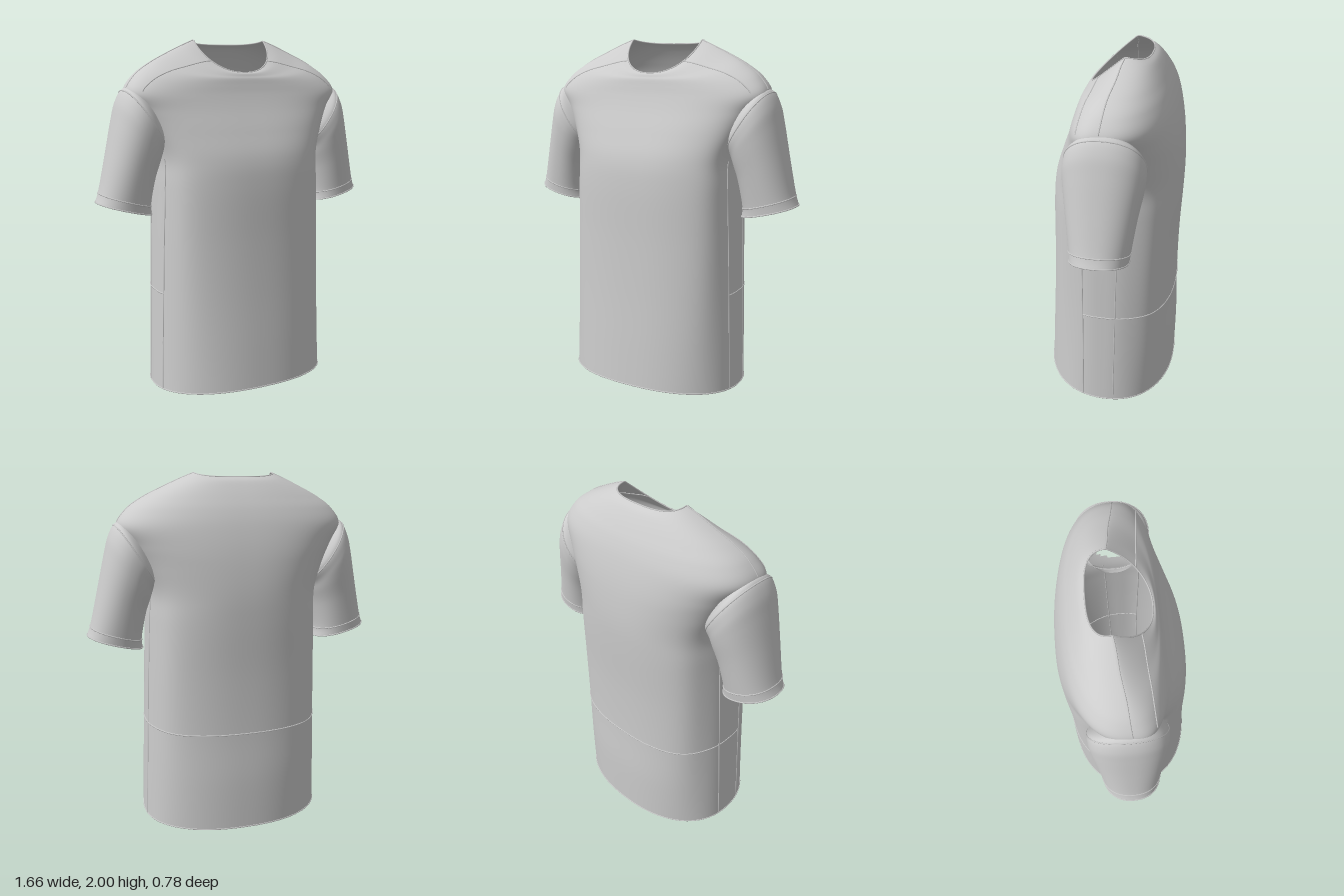
import * as THREE from 'three';

const fabric = new THREE.MeshStandardMaterial({ color: 0xcccccc, side: THREE.DoubleSide });
fabric.name = 'light grey fabric';

// Torso rings from hem to neck:
// half width, front z, back z, side y, front y, back y, side z, front roundness, back roundness
const TORSO = [
  [0.528, 0.390, -0.372, 0.025, 0.060, 0.012, 0.00, 0.86, 0.88],
  [0.520, 0.375, -0.375, 0.30, 0.30, 0.30, 0.00, 0.85, 0.85],
  [0.510, 0.355, -0.367, 0.60, 0.60, 0.58, 0.00, 0.82, 0.80],
  [0.500, 0.340, -0.370, 0.90, 0.90, 0.90, 0.00, 0.79, 0.77],
  [0.488, 0.330, -0.384, 1.20, 1.20, 1.20, 0.00, 0.76, 0.76],
  [0.485, 0.310, -0.387, 1.36, 1.36, 1.36, -0.01, 0.72, 0.77],
  [0.528, 0.260, -0.379, 1.50, 1.50, 1.50, -0.02, 0.67, 0.78],
  [0.588, 0.210, -0.363, 1.62, 1.62, 1.62, -0.02, 0.65, 0.79],
  [0.645, 0.181, -0.338, 1.715, 1.70, 1.73, -0.02, 0.67, 0.82],
  [0.592, 0.167, -0.310, 1.805, 1.75, 1.81, -0.03, 0.70, 0.84],
  [0.500, 0.158, -0.280, 1.872, 1.785, 1.87, -0.04, 0.76, 0.84],
  [0.385, 0.150, -0.250, 1.930, 1.80, 1.92, -0.06, 0.83, 0.80],
  [0.285, 0.142, -0.222, 1.975, 1.815, 1.958, -0.07, 0.90, 0.75],
  [0.222, 0.130, -0.195, 2.00, 1.82, 1.978, -0.08, 0.93, 0.72],
];

// Sleeve rings from cuff to armhole: outer x, outer y, inner x, inner y, front z, back z
const SLEEVE = [
  [0.825, 1.125, 0.520, 1.045, 0.125, -0.180],
  [0.802, 1.190, 0.525, 1.105, 0.130, -0.188],
  [0.757, 1.380, 0.500, 1.240, 0.150, -0.212],
  [0.716, 1.560, 0.475, 1.320, 0.167, -0.236],
  [0.688, 1.665, 0.460, 1.360, 0.172, -0.244],
  [0.648, 1.735, 0.430, 1.390, 0.162, -0.238],
  [0.600, 1.740, 0.400, 1.410, 0.120, -0.190],
];

// Smoothly blends the rows of a ring table at fractional index v
function sample(rows, v) {
  const i = Math.min(Math.floor(v), rows.length - 2), f = v - i;
  const row = k => rows[Math.max(0, Math.min(rows.length - 1, k))];
  return rows[0].map((_, c) => {
    const a = row(i - 1)[c], b = row(i)[c], d = row(i + 1)[c], e = row(i + 2)[c];
    return b + 0.5 * f * (d - a + f * (2 * a - 5 * b + 4 * d - e + f * (3 * (b - d) + e - a)));
  });
}

const power = (n, e) => Math.sign(n) * Math.abs(n) ** e;

// Angle t: 0 = left side, PI/2 = front, -PI/2 = back
function torsoPoint(t, v) {
  const [w, zF, zB, yS, yF, yB, z0, eF, eB] = sample(TORSO, v);
  const c = Math.cos(t), s = Math.sin(t), front = s >= 0;
  const e = front ? eF : eB;
  // soft drape folds that fade out toward hem and chest
  const fade = Math.sin(Math.PI * Math.min(1, v / 6.5));
  const fold = 1 + 0.022 * fade * Math.cos(8 * Math.abs(s) + 0.25 * v) * Math.abs(c * s);
  return new THREE.Vector3(
    w * power(c, e) * fold,
    THREE.MathUtils.lerp(yS, front ? yF : yB, Math.abs(s)),
    z0 + ((front ? zF : zB) - z0) * Math.abs(s) ** e * fold,
  );
}

function sleevePoint(t, v, side) {
  const [xo, yo, xi, yi, zF, zB] = sample(SLEEVE, v);
  const c = power(Math.cos(t), 0.9), s = power(Math.sin(t), 0.9);
  return new THREE.Vector3(
    side * ((xo + xi) / 2 + c * (xo - xi) / 2),
    (yo + yi) / 2 + c * (yo - yi) / 2,
    (zF + zB) / 2 + s * (zF - zB) / 2,
  );
}

// Opening in the body wall behind each sleeve
const inArmhole = p => Math.abs(p.x) > 0.45 && Math.hypot(p.z + 0.035, p.y - 1.55) < 0.14;

// Closed tube surface through rings of a point function, with optional holes
function loft(pointAt, around, steps, vMax, { flip = false, hole = () => false } = {}) {
  const pos = [], index = [];
  for (let j = 0; j <= steps; j++) {
    for (let i = 0; i < around; i++) {
      const p = pointAt((i / around) * Math.PI * 2, (j / steps) * vMax);
      pos.push(p.x, p.y, p.z);
      if (j === steps || hole(p)) continue;
      const a = j * around + i, b = j * around + (i + 1) % around;
      const c = a + around, d = b + around;
      if (flip) index.push(a, b, c, b, d, c);
      else index.push(a, c, b, b, c, d);
    }
  }
  const g = new THREE.BufferGeometry();
  g.setAttribute('position', new THREE.Float32BufferAttribute(pos, 3));
  g.setIndex(index);
  g.computeVertexNormals();
  return g;
}

export function createModel() {
  const shirt = new THREE.Group();
  shirt.name = 'shortSleevedShirt';
  const add = (name, geometry) => {
    const mesh = new THREE.Mesh(geometry, fabric);
    mesh.name = name;
    shirt.add(mesh);
  };
  // Fine raised stitch line along a path on the cloth, k from 0 to 1
  const seam = (name, pathAt, closed = false) => {
    const n = 60, pts = [];
    for (let i = 0; i < n + (closed ? 0 : 1); i++) pts.push(pathAt(i / n));
    add(name, new THREE.TubeGeometry(new THREE.CatmullRomCurve3(pts, closed), 120, 0.004, 5, closed));
  };
  const mix = THREE.MathUtils.lerp;

  // Body, open at neck, hem and armholes
  add('body', loft(torsoPoint, 240, 104, TORSO.length - 1, { hole: inArmhole }));

  // Neck and hem edges
  seam('neckEdge', k => torsoPoint(k * Math.PI * 2, TORSO.length - 1), true);
  seam('hemEdge', k => torsoPoint(k * Math.PI * 2, 0), true);

  // Lower back panel seam
  seam('lowerBackSeam', k => torsoPoint(mix(0.25, -Math.PI - 0.25, k), 2));

  for (const side of [1, -1]) {
    const name = side > 0 ? 'left' : 'right';
    const onBody = (t, v) => torsoPoint(side > 0 ? t : Math.PI - t, v);
    const onSleeve = (t, v) => sleevePoint(t, v, side);

    // Sleeve, cuff edge, cuff stitching and armhole seam
    add(name + 'Sleeve', loft(onSleeve, 64, 48, SLEEVE.length - 1, { flip: side < 0 }));
    seam(name + 'CuffEdge', k => onSleeve(k * Math.PI * 2, 0), true);
    seam(name + 'CuffSeam', k => onSleeve(k * Math.PI * 2, 0.85), true);
    seam(name + 'ArmholeSeam', k => onSleeve(k * Math.PI * 2, 4.8), true);

    // Shoulder and yoke seams
    seam(name + 'ShoulderSeam', k => onBody(0, mix(8.3, 13, k)));
    seam(name + 'YokeSeam', k => onBody(mix(0.5, 0.7, k), mix(8.2, 13, k)));

    // Side panel seams
    seam(name + 'SideFrontSeam', k => onBody(0.24, mix(0, 5, k)));
    seam(name + 'SideBackSeam', k => onBody(-0.14, mix(0, 5, k)));
  }
  return shirt;
}
